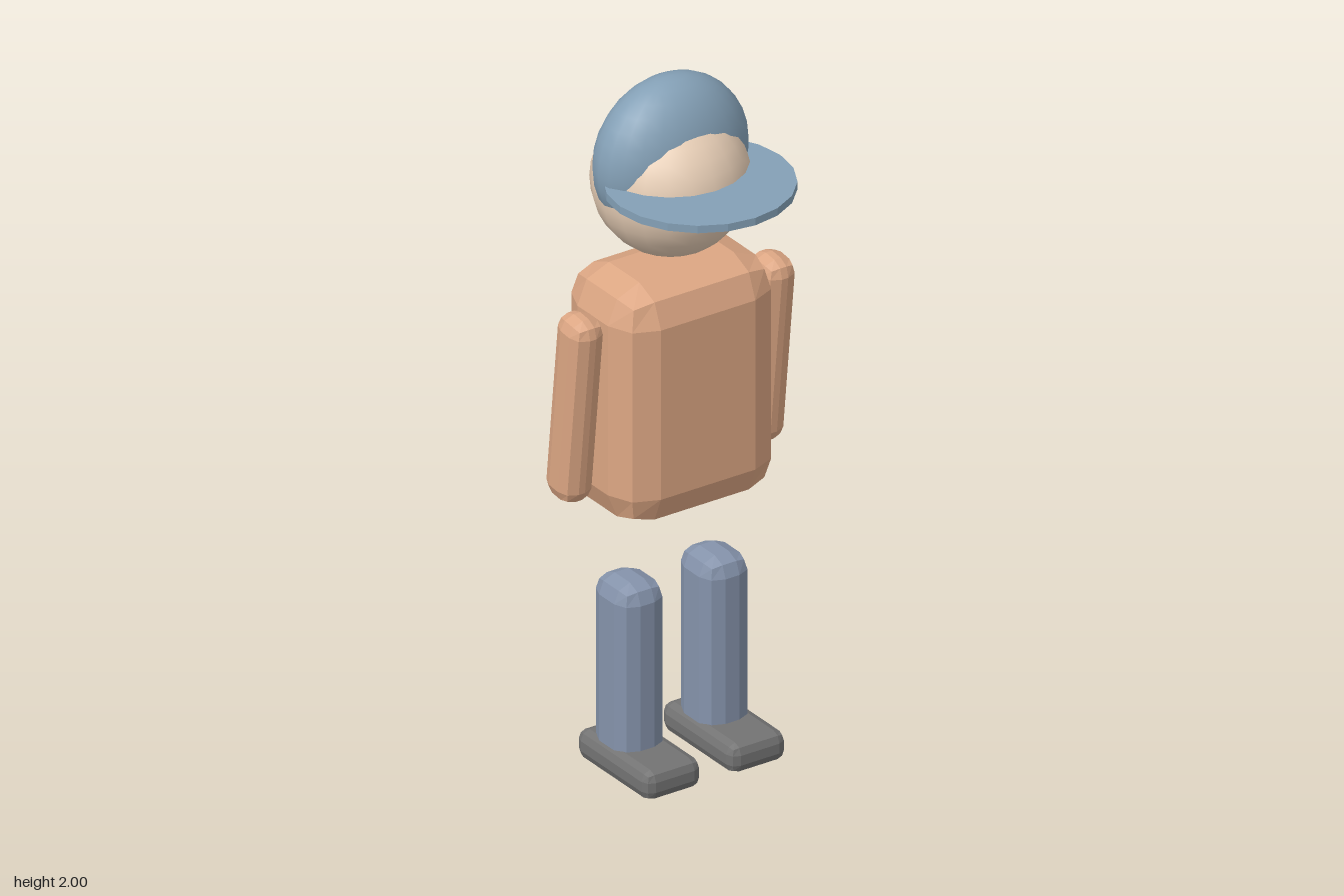
import * as THREE from 'three';
import { RoundedBoxGeometry } from 'three/addons/geometries/RoundedBoxGeometry.js';

const material = (color, flatShading) => new THREE.MeshStandardMaterial({ color, flatShading });

export function createModel() {
  const model = new THREE.Group();
  model.name = 'cappedFigure';

  const skin = material(0xe6cdb5, false);
  const cloth = material(0xdca683, true);
  const denim = material(0x8593ab, true);
  const sole = material(0x737373, true);
  const capSmooth = material(0x84a0b6, false);
  const capFlat = material(0x84a0b6, true);

  function add(name, geometry, mat, x, y, z) {
    const mesh = new THREE.Mesh(geometry, mat);
    mesh.name = name;
    mesh.position.set(x, y, z);
    model.add(mesh);
    return mesh;
  }

  // Box with two facets around every edge
  const block = (w, h, d, r) => new RoundedBoxGeometry(w, h, d, 1, r);

  // Head and cap
  add('head', new THREE.SphereGeometry(0.213, 20, 16), skin, 0, 1.703, -0.09);
  const crown = add('capCrown', new THREE.SphereGeometry(0.23, 24, 16), capSmooth, 0, 1.77, -0.09);
  crown.scale.z = 0.62;
  add('capBrim', new THREE.CylinderGeometry(0.255, 0.255, 0.022, 20), capFlat, 0, 1.737, 0.046);

  // Body
  add('torso', block(0.5, 0.7, 0.34, 0.1), cloth, 0, 1.115, -0.087);

  // Limbs, mirrored left and right
  for (const [side, s] of [['left', 1], ['right', -1]]) {
    const arm = add(side + 'Arm', block(0.1, 0.56, 0.12, 0.04), cloth, s * 0.305, 1.113, -0.09);
    arm.rotation.x = 0.11;
    add(side + 'Leg', block(0.144, 0.545, 0.17, 0.05), denim, s * 0.135, 0.293, -0.085);
    add(side + 'Shoe', block(0.178, 0.085, 0.335, 0.028), sole, s * 0.135, 0.046, -0.04);
  }
  return model;
}
